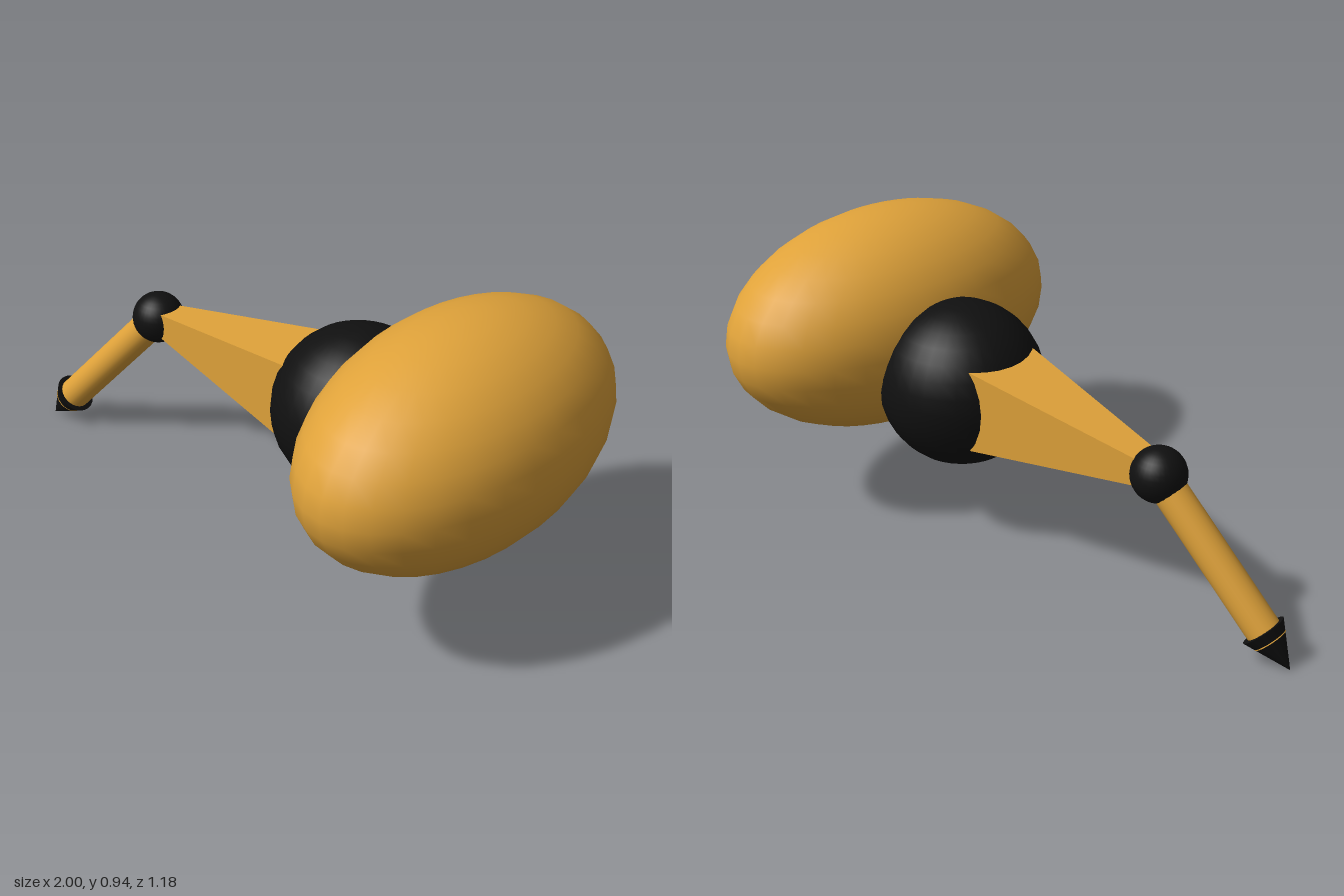
import * as THREE from 'three';

export function createModel() {
  const model = new THREE.Group();
  const gold = new THREE.MeshStandardMaterial({ color: 0xdfa23a });
  gold.name = 'gold';
  const black = new THREE.MeshStandardMaterial({ color: 0x101010 });
  black.name = 'black';
  // same gold, faceted for the square arm
  const goldFlat = gold.clone();
  goldFlat.flatShading = true;

  const hip = new THREE.Vector3(0.265, 0.495, -0.035);
  const knee = new THREE.Vector3(-0.57, 0.495, -0.035);
  const toe = new THREE.Vector3(-1, 0.005, 0.065);

  function add(name, geometry, material, position) {
    const mesh = new THREE.Mesh(geometry, material);
    mesh.name = name;
    mesh.position.copy(position);
    model.add(mesh);
    return mesh;
  }

  // Tapered rod between two points; the second radius is at the end point
  function rod(name, a, b, ra, rb, sides, material) {
    const geometry = new THREE.CylinderGeometry(rb, ra, a.distanceTo(b), sides);
    if (sides === 4) geometry.rotateY(Math.PI / 4);
    const mesh = add(name, geometry, material, a.clone().add(b).multiplyScalar(0.5));
    mesh.quaternion.setFromUnitVectors(new THREE.Vector3(0, 1, 0), b.clone().sub(a).normalize());
    return mesh;
  }

  // Body: an ellipsoid long from front to back
  const body = add('body', new THREE.SphereGeometry(1, 32, 16), gold, new THREE.Vector3(0.655, 0.6, 0));
  body.scale.set(0.345, 0.345, 0.592);

  // Ball joints
  add('hipJoint', new THREE.SphereGeometry(0.26, 32, 16), black, hip);
  add('kneeJoint', new THREE.SphereGeometry(0.083, 32, 16), black, knee);

  // Square upper leg, widening toward the hip
  rod('upperLeg', knee, hip, 0.035 * Math.SQRT2, 0.157 * Math.SQRT2, 4, goldFlat);

  // Round lower leg, its end rim just showing through the pointed foot
  const along = (d) => toe.clone().add(knee.clone().sub(toe).setLength(d));
  rod('lowerLeg', knee, along(0.1), 0.052, 0.052, 24, gold);
  rod('foot', along(0.135), toe, 0.068, 0, 24, black);

  return model;
}
